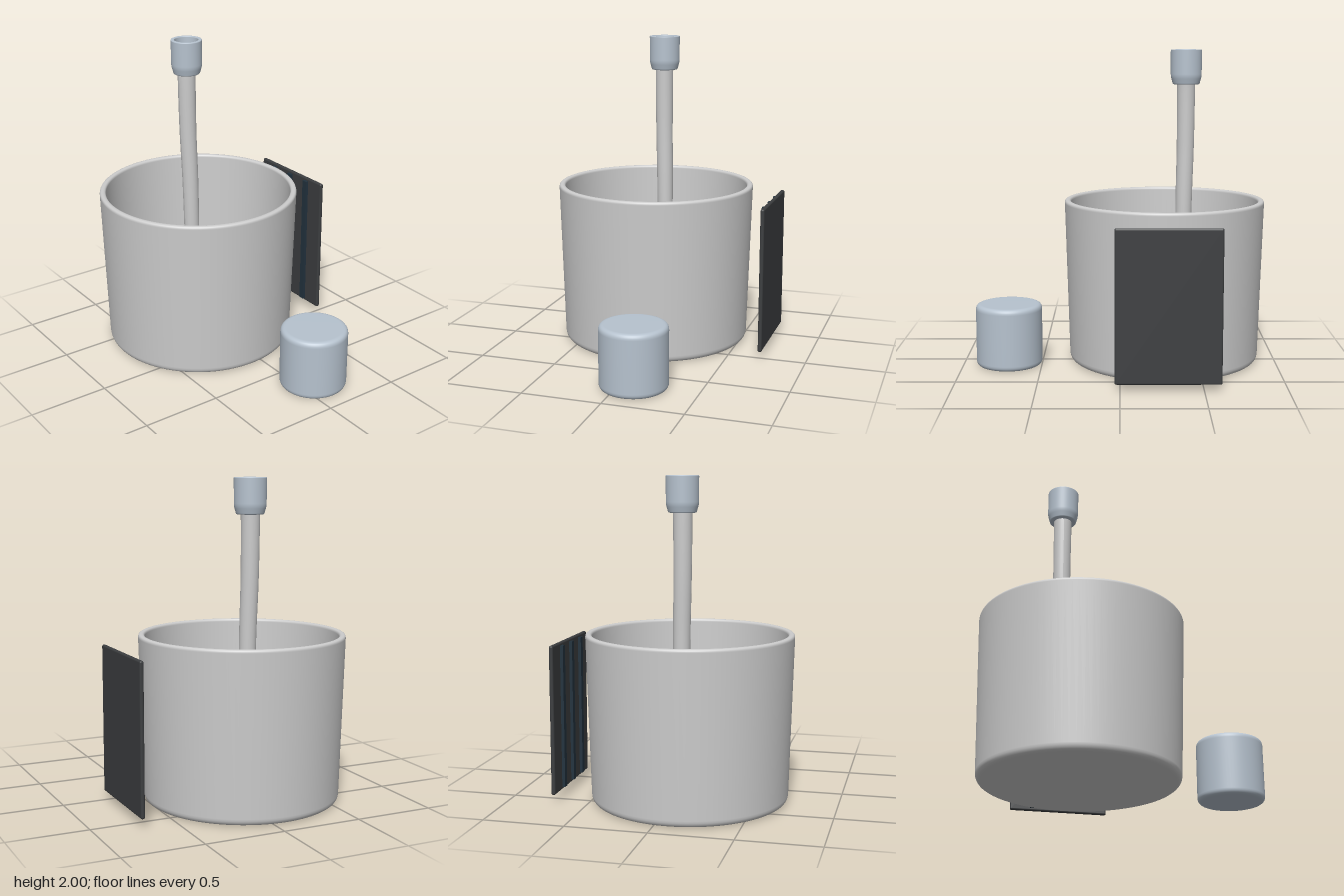
import * as THREE from 'three';
import { RoundedBoxGeometry } from 'three/addons/geometries/RoundedBoxGeometry.js';

const paint = (color, side = THREE.FrontSide) => new THREE.MeshStandardMaterial({ color, side });
const grey = paint(0xcccccc, THREE.DoubleSide);
const steel = paint(0xb6c2ce, THREE.DoubleSide);
const dark = paint(0x3c3e40);
const navy = paint(0x22323e);

function add(parent, name, geometry, material, x = 0, y = 0, z = 0) {
  const mesh = new THREE.Mesh(geometry, material);
  mesh.name = name;
  mesh.position.set(x, y, z);
  parent.add(mesh);
  return mesh;
}

// Revolves an outline whose corners [radius, height, fillet] are rounded off.
function turned(corners, segments = 64) {
  const pts = [];
  corners.forEach(([r, y, fillet = 0], i) => {
    const p = new THREE.Vector2(r, y);
    if (!fillet) return pts.push(p);
    const toward = (c) => new THREE.Vector2(c[0], c[1]).sub(p).setLength(fillet).add(p);
    const curve = new THREE.QuadraticBezierCurve(toward(corners[i - 1]), p, toward(corners[i + 1]));
    pts.push(...curve.getPoints(6));
  });
  return new THREE.LatheGeometry(pts, segments);
}

export function createModel() {
  const model = new THREE.Group();
  const bx = -0.285, bz = 0.08;

  // Tapered bucket with rolled rim, open at the top
  const bucket = new THREE.Group();
  bucket.name = 'bucket';
  bucket.position.set(bx, 0, bz);
  model.add(bucket);
  add(bucket, 'bucketShell', turned([
    [0, 0], [0.61, 0, 0.045], [0.641, 1.045, 0.02], [0.601, 1.045, 0.018], [0.565, 0.06, 0.03], [0, 0.06],
  ], 96), grey);

  // Gently rippled surface at the bottom of the bucket
  const ripple = [];
  for (let i = 0; i <= 40; i++) {
    const r = 0.53 * i / 40;
    ripple.push(new THREE.Vector2(r, 0.09 + 0.003 * Math.cos(r * 42) * (1 - r / 0.53)));
  }
  ripple.push(new THREE.Vector2(0.548, 0.084), new THREE.Vector2(0.555, 0.065));
  add(bucket, 'rippledFloor', new THREE.LatheGeometry(ripple.reverse(), 96), grey);

  // Slightly bent handle, thickening upward to a domed end
  const path = new THREE.CatmullRomCurve3([
    [-0.405, 0.08, 0.055], [-0.405, 0.6, 0.055], [-0.41, 1.05, 0.058],
    [-0.418, 1.4, 0.065], [-0.42, 1.78, 0.066], [-0.42, 1.84, 0.063],
  ].map((p) => new THREE.Vector3(...p)));
  const handle = new THREE.TubeGeometry(path, 48, 1, 24);
  const pos = handle.attributes.position, centre = new THREE.Vector3(), v = new THREE.Vector3();
  for (let i = 0; i < pos.count; i++) {
    const t = Math.floor(i / 25) / 48;
    path.getPointAt(t, centre);
    v.fromBufferAttribute(pos, i).sub(centre).multiplyScalar(0.046 + 0.012 * t).add(centre);
    pos.setXYZ(i, v.x, v.y, v.z);
  }
  handle.computeVertexNormals();
  add(model, 'handle', handle, grey);
  add(model, 'handleDome', new THREE.SphereGeometry(0.058, 24, 16), grey, -0.42, 1.84, 0.063);

  // Open cup on top of the handle
  add(model, 'handleCup', turned([
    [0.055, 1.78], [0.084, 1.78, 0.008], [0.098, 1.83, 0.015], [0.099, 2, 0.006],
    [0.076, 2, 0.006], [0.07, 1.82, 0.01], [0.05, 1.82],
  ], 48), steel, -0.42, 0, 0.065);

  // Solid drum beside the bucket
  add(model, 'drum', turned([
    [0, 0], [0.21, 0, 0.035], [0.21, 0.397, 0.035], [0, 0.397],
  ]), steel, 0.708, 0, -0.1);

  // Upright panel behind, with three strips on its inner face
  const panel = new THREE.Group();
  panel.name = 'panel';
  panel.position.set(bx, 0.515, -0.71);
  model.add(panel);
  add(panel, 'panelBoard', new RoundedBoxGeometry(0.635, 0.93, 0.026, 3, 0.011), dark);
  for (const x of [-0.168, 0, 0.168]) {
    add(panel, 'panelStrip', new THREE.BoxGeometry(0.038, 0.895, 0.024), navy, x, 0, 0.02);
  }
  return model;
}
